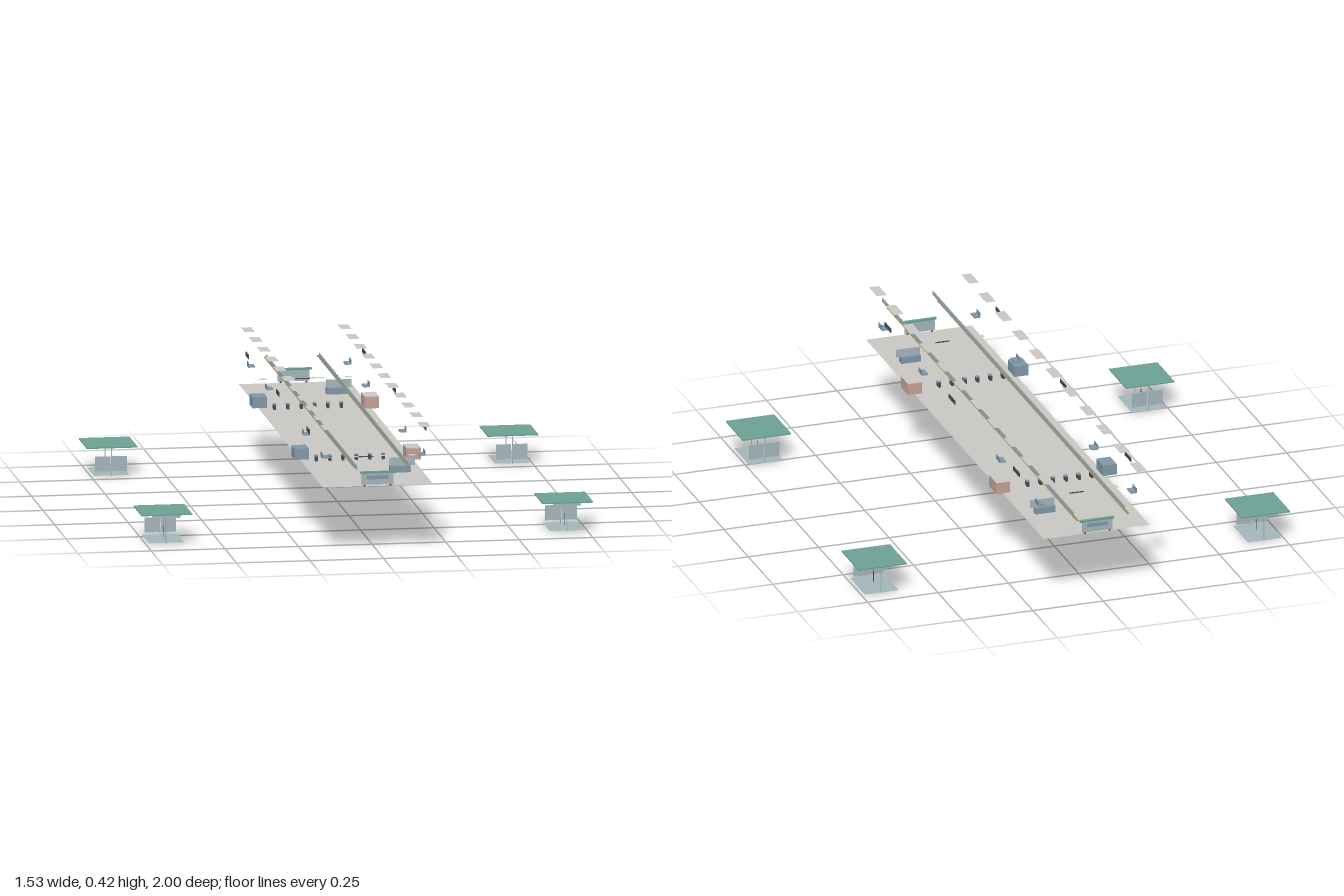
import * as THREE from 'three';

const mat = (name, color, double = true) => {
  const m = new THREE.MeshStandardMaterial({ color, side: double ? THREE.DoubleSide : THREE.FrontSide });
  m.name = name;
  return m;
};

export function createModel() {
  const concrete = mat('concrete', 0xc8c6c2);
  const green = mat('green roof', 0x6ba092);
  const glass = mat('pale glass', 0xa3b5bb);
  const blue = mat('slate blue', 0x7f97a7);
  const salmon = mat('salmon', 0xc4a294);
  const olive = mat('olive strip', 0x938850);
  const dark = mat('dark grey', 0x4a4d50);
  const root = new THREE.Group();

  // box given by its limits on each axis
  const box = (parent, name, m, x0, x1, y0, y1, z0, z1) => {
    const mesh = new THREE.Mesh(new THREE.BoxGeometry(x1 - x0, y1 - y0, z1 - z0), m);
    mesh.position.set((x0 + x1) / 2, (y0 + y1) / 2, (z0 + z1) / 2);
    mesh.name = name;
    parent.add(mesh);
    return mesh;
  };
  // horizontal sheet without thickness
  const sheet = (parent, name, m, x, y, z, w, d) => {
    const mesh = new THREE.Mesh(new THREE.PlaneGeometry(w, d).rotateX(-Math.PI / 2), m);
    mesh.position.set(x, y, z);
    mesh.name = name;
    parent.add(mesh);
  };
  const group = (name) => {
    const g = new THREE.Group();
    g.name = name;
    root.add(g);
    return g;
  };

  // concourse floor
  sheet(root, 'concourseFloor', concrete, 0, 0.225, -0.026, 0.376, 1.815);

  for (const s of [-1, 1]) {
    // platform edge: warning strip and glass barrier
    const edge = group('platformEdge');
    sheet(edge, 'warningStrip', olive, s * 0.09, 0.304, -0.027, 0.009, 1.945);
    for (let i = 0; i < 11; i++) {
      const z0 = -0.96 + i * 0.1782;
      box(edge, 'barrierPanel', glass, s * 0.09 - 0.0008, s * 0.09 + 0.0008, 0.304, 0.319, z0, z0 + 0.1772);
    }
    // roof panels above the platform
    const canopy = group('canopy');
    for (let i = 0; i < 11; i++)
      sheet(canopy, 'canopyPanel', concrete, s * 0.164, 0.42, -0.886 + i * 0.1715, 0.035, 0.083);
    // benches with a seat and back
    for (const z of [-0.823, -0.428, 0.366, 0.773]) {
      const bench = group('bench');
      box(bench, 'benchSeat', blue, s * 0.164 - 0.011, s * 0.164 + 0.011, 0.306, 0.311, z - 0.019, z + 0.019);
      box(bench, 'benchBack', blue, s * 0.174 - 0.001, s * 0.174 + 0.001, 0.31, 0.323, z - 0.019, z + 0.019);
    }
    // dark hanging boards
    for (const z of [-0.682, -0.026, 0.63])
      box(root, 'sideBoard', dark, s * 0.198 - 0.001, s * 0.198 + 0.001, 0.365, 0.38, z - 0.033, z + 0.033);
  }

  // ticket hall fittings, repeated towards both ends
  for (const [gateZ, signZ, endZ, dir] of [[-0.482, -0.715, -0.934, -1], [0.42, 0.655, 0.877, 1]]) {
    const hall = group('ticketHall');
    box(hall, 'serviceBox', blue, -0.217, -0.168, 0.238, 0.275, gateZ - 0.034, gateZ + 0.034);
    box(hall, 'kiosk', salmon, 0.163, 0.212, 0.226, 0.265, gateZ - 0.037, gateZ + 0.037);
    box(hall, 'kioskRoof', concrete, 0.163, 0.212, 0.265, 0.267, gateZ - 0.037, gateZ + 0.037);
    for (let i = 0; i < 6; i++) {
      const x = -0.138 + i * 0.0455;
      box(hall, 'gatePost', dark, x - 0.004, x + 0.004, 0.226, 0.242, gateZ - 0.012, gateZ + 0.012);
      box(hall, 'gateTop', blue, x - 0.006, x + 0.006, 0.242, 0.245, gateZ - 0.007, gateZ + 0.007);
    }
    // counter with a glazed screen
    box(hall, 'counter', blue, 0.075, 0.145, 0.226, 0.248, signZ - 0.012, signZ + 0.012);
    box(hall, 'counterScreen', glass, 0.075, 0.16, 0.248, 0.275, signZ - 0.001, signZ + 0.001);
    // overhead plates and rail
    for (const [x, w] of [[-0.14, 0.024], [-0.053, 0.043], [0.045, 0.045], [0.15, 0.024]])
      sheet(hall, 'ceilingPlate', concrete, x, 0.283, signZ, w, 0.02);
    box(hall, 'ceilingRail', dark, -0.03, 0.02, 0.28, 0.283, signZ - 0.002, signZ + 0.002);
    // end screen
    box(hall, 'endScreen', glass, -0.055, 0.052, 0.23, 0.268, endZ - 0.002, endZ + 0.002);
    box(hall, 'endScreenTop', green, -0.06, 0.06, 0.268, 0.275, endZ - 0.005, endZ + 0.005);
    box(hall, 'endScreenBand', blue, -0.038, 0.036, 0.248, 0.261, endZ + dir * 0.003 - 0.001, endZ + dir * 0.003 + 0.001);
    for (const x of [-0.045, 0.042])
      box(hall, 'endScreenFoot', dark, x - 0.003, x + 0.003, 0.225, 0.23, endZ - 0.003, endZ + 0.003);
  }

  // four entrance pavilions
  for (const x of [-0.681, 0.681]) for (const [z, d] of [[-0.619, -1], [0.563, 1]]) {
    const p = group('entrancePavilion');
    p.position.set(x, 0, z);
    box(p, 'roof', green, -0.086, 0.086, 0.099, 0.103, -0.087, 0.087);
    sheet(p, 'floor', glass, 0, 0.004, 0, 0.12, 0.15);
    for (const pz of [-0.068, 0.07])
      box(p, 'post', glass, -0.0015, 0.0015, 0, 0.099, pz - 0.0015, pz + 0.0015);
    for (const s of [-1, 1])
      box(p, 'glassPane', glass, s * 0.028 - 0.026, s * 0.028 + 0.026, 0.015, 0.066, -d * 0.058 - 0.001, -d * 0.058 + 0.001);
    box(p, 'signBand', glass, -0.048, 0.048, 0.087, 0.096, d * 0.07 - 0.001, d * 0.07 + 0.001);
    box(p, 'handrail', dark, -0.001, 0.001, 0.01, 0.05, 0.006, 0.008);
  }
  return root;
}
